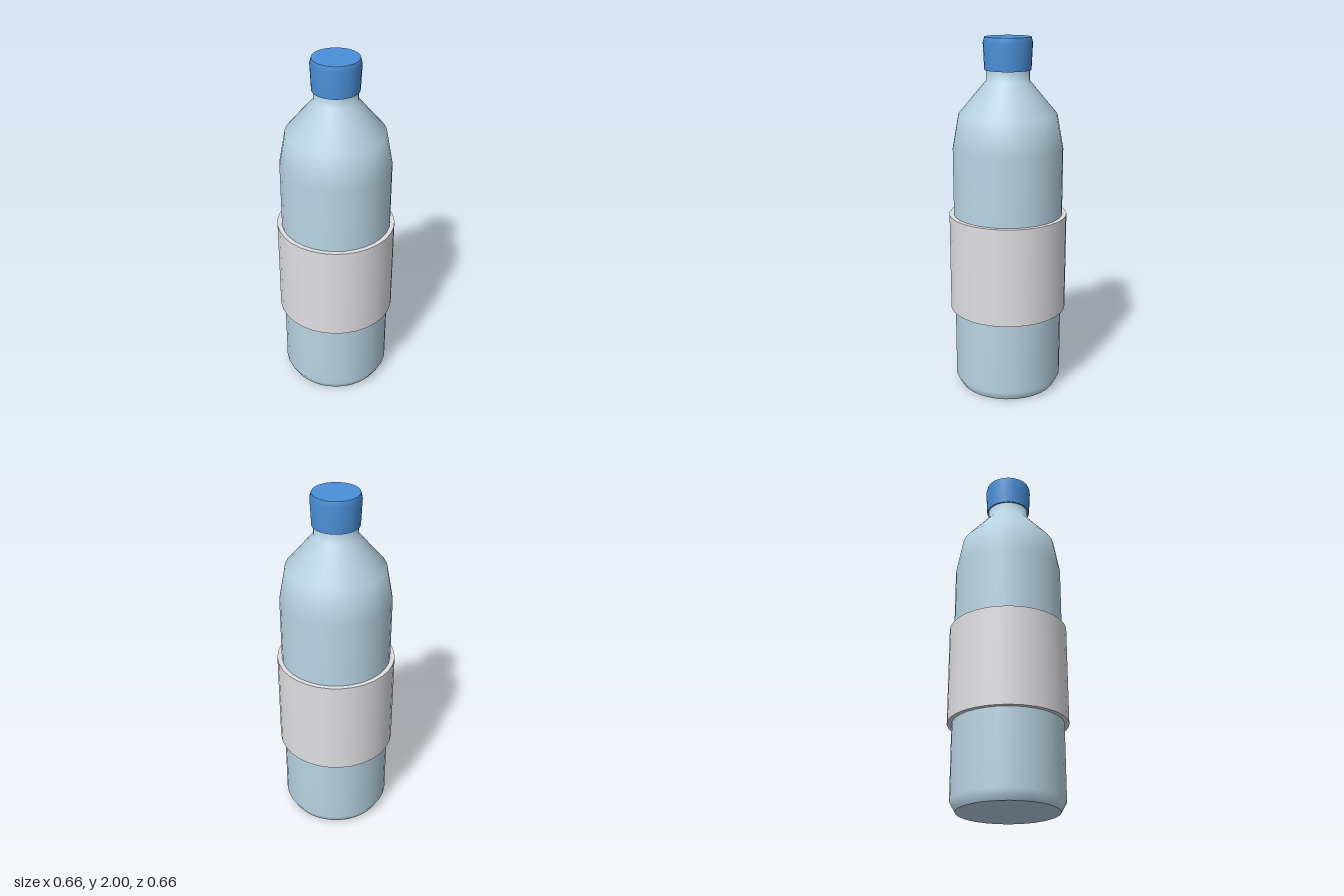
import * as THREE from 'three';

const material = (name, color) => {
  const m = new THREE.MeshStandardMaterial({ color });
  m.name = name;
  return m;
};

export function createModel() {
  const plastic = material('pale blue plastic', 0xb8d4e3);
  const paper = material('light grey label', 0xe0e0e4);
  const blue = material('blue cap', 0x4a90d9);

  const model = new THREE.Group();
  model.name = 'bottle';

  const add = (parent, name, geometry, mat, y = 0) => {
    const mesh = new THREE.Mesh(geometry, mat);
    mesh.name = name;
    mesh.position.y = y;
    parent.add(mesh);
    return mesh;
  };
  const lathe = (points, sides) =>
    new THREE.LatheGeometry(points.map(([r, y]) => new THREE.Vector2(r, y)), sides);
  // Flat disc facing up (1) or down (-1)
  const disc = (radius, sides, facing) =>
    new THREE.CircleGeometry(radius, sides).rotateX(-facing * Math.PI / 2).rotateY(Math.PI / 2);

  // Body: chamfered foot, straight wall, two-step shoulder and neck
  const body = new THREE.Group();
  body.name = 'body';
  add(body, 'bodyWall', lathe([
    [0.275, 0], [0.305, 0.055], [0.305, 1.4], [0.27, 1.59], [0.118, 1.77], [0.118, 1.84],
  ], 32), plastic);
  add(body, 'base', disc(0.275, 32, -1), plastic);
  model.add(body);

  // Label: sleeve standing proud of the wall
  add(model, 'label', new THREE.CylinderGeometry(0.33, 0.33, 0.555, 32), paper, 0.75);

  // Cap: slightly tapered skirt with a bevelled top edge
  const cap = new THREE.Group();
  cap.name = 'cap';
  add(cap, 'capSkirt', lathe([[0.127, 1.826], [0.134, 1.97], [0.126, 2]], 24), blue);
  add(cap, 'capTop', disc(0.126, 24, 1), blue, 2);
  add(cap, 'capUnderside', disc(0.127, 24, -1), blue, 1.826);
  model.add(cap);

  return model;
}
